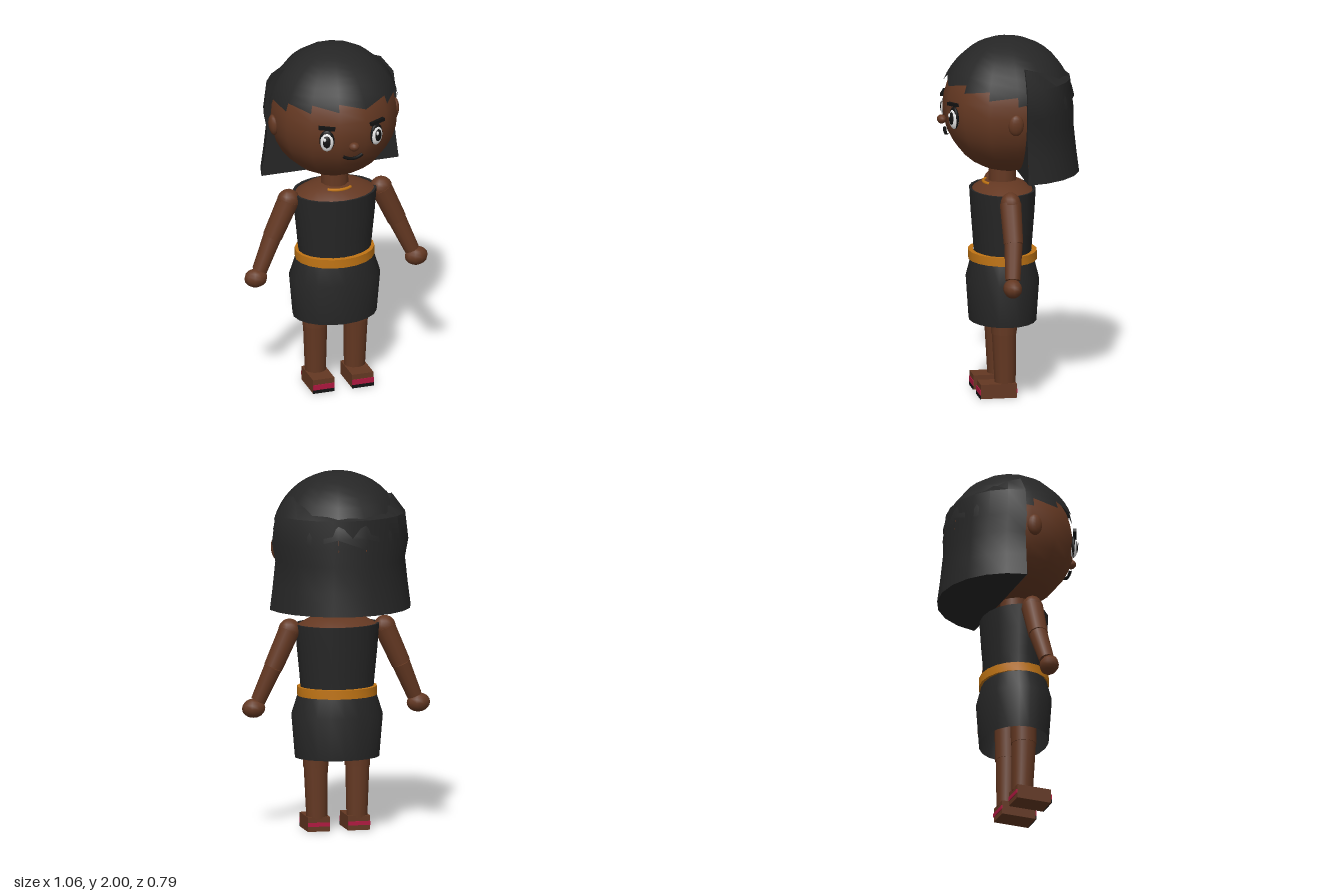
import * as THREE from 'three';
import { toCreasedNormals } from 'three/addons/utils/BufferGeometryUtils.js';

const mat = (name, color, side = THREE.FrontSide) => {
  const m = new THREE.MeshStandardMaterial({ color, side });
  m.name = name;
  return m;
};
const V = (x, y, z) => new THREE.Vector3(x, y, z);
const BODY_Z = 0.03;

export function createModel() {
  const skin = mat('skin', 0x643822);
  const cloth = mat('black hair and cloth', 0x262626, THREE.DoubleSide);
  const gold = mat('gold', 0xc07414);
  const crimson = mat('crimson', 0xb01840);
  const white = mat('eye white', 0xeeeeee);
  const ink = mat('ink', 0x121212);

  const root = new THREE.Group();
  root.name = 'figure';
  const add = (name, geometry, material, x = 0, y = 0, z = 0, parent = root) => {
    const mesh = new THREE.Mesh(geometry, material);
    mesh.name = name;
    mesh.position.set(x, y, z);
    parent.add(mesh);
    return mesh;
  };
  const ball = (rx, ry, rz, w = 14, h = 12) => new THREE.SphereGeometry(1, w, h).scale(rx, ry, rz);
  // Oval turned shape, points from bottom to top
  const turned = (points, depth, segments = 20) => toCreasedNormals(
    new THREE.LatheGeometry(points.map(p => new THREE.Vector2(...p)), segments).scale(1, 1, depth), 0.7);
  // Tapered limb between two points
  const limb = (name, a, b, ra, rb, material = skin) => {
    const mid = a.clone().lerp(b, 0.5);
    const mesh = add(name, new THREE.CylinderGeometry(rb, ra, a.distanceTo(b), 12), material, mid.x, mid.y, mid.z);
    mesh.quaternion.setFromUnitVectors(V(0, 1, 0), b.clone().sub(a).normalize());
    return mesh;
  };

  // Head, nose and neck
  add('head', ball(0.355, 0.36, 0.36, 14, 16), skin, 0, 1.61, 0);
  add('nose', ball(0.031, 0.025, 0.026, 10, 8), skin, 0, 1.55, 0.369);
  limb('neck', V(0, 1.15, BODY_Z), V(0, 1.32, BODY_Z), 0.078, 0.075);

  // Hair cap, its rim sloping down from the brow to the ears
  const cap = new THREE.SphereGeometry(1, 14, 10);
  const pos = cap.attributes.position, uv = cap.attributes.uv, nor = cap.attributes.normal;
  for (let i = 0; i < pos.count; i++) {
    const phi = Math.round(uv.getX(i) * 14) / 14 * Math.PI * 2;
    let rim = 1.4;
    for (let k = 0; k < 10; k++) rim = Math.acos((0.076 + 0.075 * Math.sin(rim) * Math.sin(phi)) / 0.39);
    const t = (1 - uv.getY(i)) * rim;
    const n = V(-Math.cos(phi) * Math.sin(t), Math.cos(t), Math.sin(phi) * Math.sin(t));
    pos.setXYZ(i, n.x * 0.375, n.y * 0.39, n.z * 0.375);
    nor.setXYZ(i, n.x, n.y, n.z);
  }
  add('hairCap', cap, cloth, 0, 1.61, 0.005);

  // Long back hair: half-turned shell closed by a flat front
  const hairProfile = [[0, 1.25], [0.4, 1.25], [0.383, 1.38], [0.368, 1.52], [0.376, 1.62], [0.358, 1.775], [0.285, 1.875], [0, 1.875]];
  const start = THREE.MathUtils.degToRad(97), sweep = THREE.MathUtils.degToRad(166);
  const back = new THREE.LatheGeometry(hairProfile.map(p => new THREE.Vector2(...p)), 10, start, sweep);
  const bp = back.attributes.position;
  for (let i = 0; i < bp.count; i++) {
    // Upper rim dips toward the back of the head
    const y = bp.getY(i), z = bp.getZ(i);
    if (y > 1.8) bp.setY(i, y - 0.25 * Math.max(0, -z - 0.05));
    const wide = y > 1.55 ? 1.03 : 1;
    bp.setXYZ(i, bp.getX(i) * wide, bp.getY(i), Math.min(z * (y > 1.55 ? 0.96 : 0.985), -0.045));
  }
  add('backHair', toCreasedNormals(back, 0.7), cloth);
  const half = hairProfile.slice(1, -1).map(([r, y]) => [r * (y > 1.55 ? 1.02 : 0.99), y]);
  const frontShape = new THREE.Shape([...half, ...half.map(([r, y]) => [-r, y]).reverse()].map(p => new THREE.Vector2(...p)));
  add('backHairFront', new THREE.ShapeGeometry(frontShape), cloth, 0, 0, -0.046);

  // Mouth
  const smile = new THREE.QuadraticBezierCurve3(V(-0.056, 1.488, 0.342), V(0, 1.452, 0.352), V(0.056, 1.488, 0.342));
  add('mouth', new THREE.TubeGeometry(smile, 12, 0.009, 6), ink);

  // Torso, necklace, dress and belt
  add('shoulders', turned([[0.225, 1.1], [0.222, 1.145], [0.16, 1.18], [0.09, 1.197], [0, 1.197]], 0.74), skin, 0, 0, BODY_Z);
  const necklace = add('necklace', new THREE.TorusGeometry(0.105, 0.009, 6, 14, 1.35), gold, 0, 1.187, BODY_Z);
  necklace.rotation.set(Math.PI / 2, 0, Math.PI / 2 - 0.675);
  add('dressTop', turned([[0.203, 0.78], [0.212, 0.88], [0.226, 1.02], [0.236, 1.15], [0.222, 1.15]], 0.77), cloth, 0, 0, BODY_Z);
  add('belt', turned([[0.19, 0.753], [0.222, 0.753], [0.222, 0.803], [0.19, 0.803]], 0.85), gold, 0, 0, BODY_Z);
  add('skirt', turned([[0.236, 0.41], [0.256, 0.645], [0.213, 0.78]], 0.785), cloth, 0, 0, BODY_Z);

  // Paired parts
  for (const s of [1, -1]) {
    const side = s > 0 ? 'left' : 'right';
    const ear = add(side + 'Ear', ball(0.025, 0.06, 0.043, 12, 10), skin, s * 0.35, 1.58, 0.015);
    ear.rotation.z = -s * 0.08;

    // Eye and brow, turned to follow the face
    const eye = new THREE.Group();
    eye.name = side + 'Eye';
    eye.position.set(s * 0.143, 1.585, 0.325);
    eye.rotation.y = s * 0.38;
    root.add(eye);
    add('eyeRim', ball(0.042, 0.063, 0.017), ink, 0, 0.003, -0.001, eye);
    add('eyeWhite', ball(0.039, 0.058, 0.022), white, 0, -0.002, 0, eye);
    add('pupil', ball(0.028, 0.043, 0.02), ink, 0, 0, 0.006, eye);
    add('eyeGlint', ball(0.009, 0.012, 0.006, 8, 6), white, -0.011, 0.017, 0.024, eye);
    const brow = add('brow', new THREE.BoxGeometry(0.092, 0.018, 0.02), ink, 0, 0.08, 0.008, eye);
    brow.rotation.z = s * 0.08;

    // Arm
    const shoulder = V(s * 0.268, 1.12, 0.032), elbow = V(s * 0.36, 0.915, 0.032), wrist = V(s * 0.44, 0.73, 0.05);
    add(side + 'Shoulder', ball(0.063, 0.063, 0.056, 12, 10), skin, shoulder.x, shoulder.y, shoulder.z);
    limb(side + 'UpperArm', elbow, shoulder, 0.054, 0.06);
    limb(side + 'Forearm', wrist, elbow, 0.042, 0.051);
    add(side + 'Hand', ball(0.066, 0.053, 0.052, 10, 8), skin, s * 0.464, 0.688, 0.055);

    // Leg
    limb(side + 'Thigh', V(s * 0.117, 0.355, 0.042), V(s * 0.117, 0.62, 0.04), 0.071, 0.075);
    limb(side + 'Shin', V(s * 0.113, 0.07, 0.035), V(s * 0.117, 0.357, 0.042), 0.059, 0.068);

    // Foot with sandal bands on toe and heel
    add(side + 'Foot', new THREE.BoxGeometry(0.124, 0.08, 0.2), skin, s * 0.113, 0.04, 0.081);
    add(side + 'SoleBand', new THREE.BoxGeometry(0.124, 0.02, 0.006), ink, s * 0.113, 0.01, 0.182);
    add(side + 'ToeBand', new THREE.BoxGeometry(0.124, 0.03, 0.006), crimson, s * 0.113, 0.035, 0.182);
    add(side + 'HeelBand', new THREE.BoxGeometry(0.124, 0.022, 0.006), crimson, s * 0.113, 0.039, -0.02);
  }
  return root;
}
